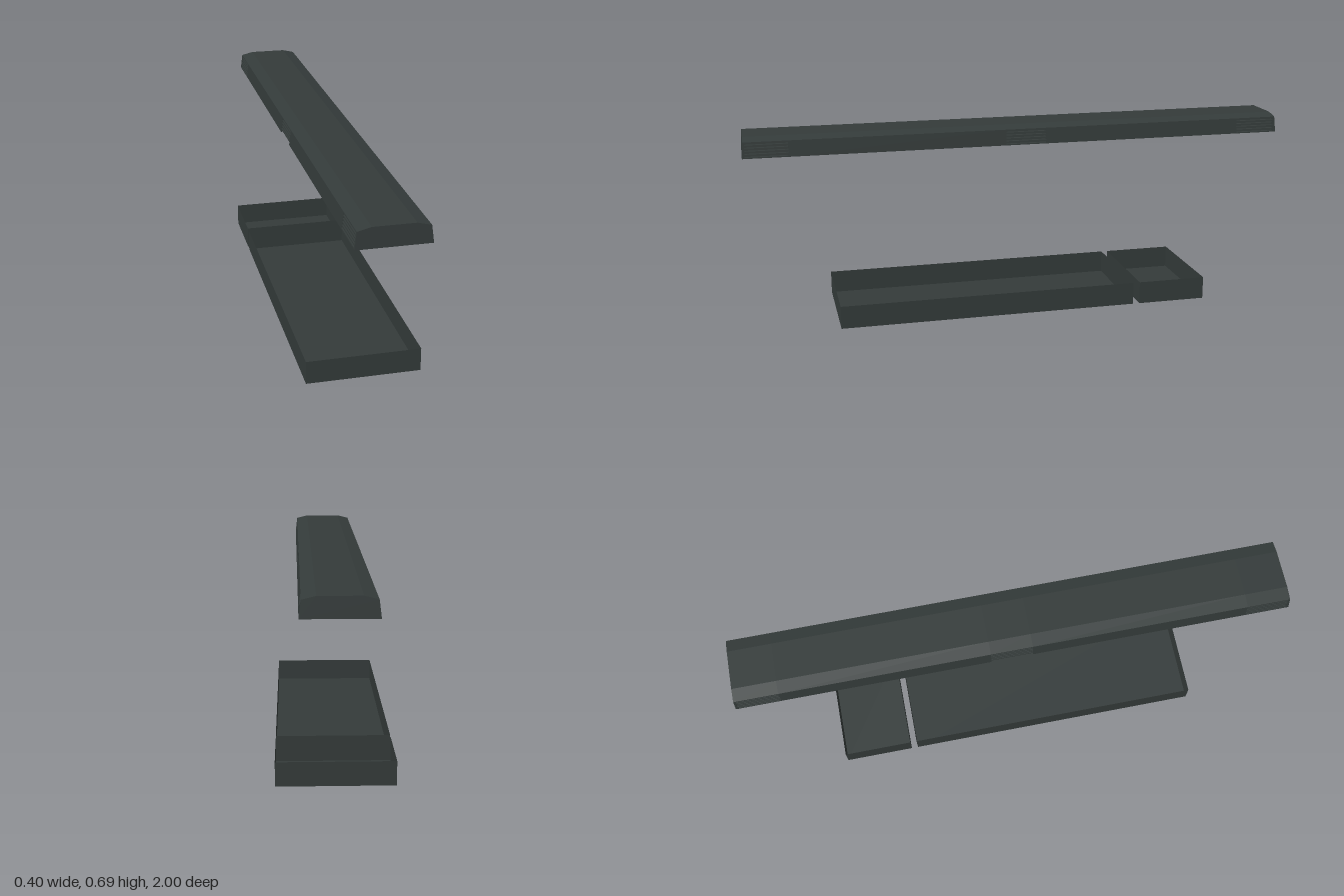
import * as THREE from 'three';

const BOTTOM = 0.625, SHOULDER = 0.682, TOP = 0.693;

// half-width of the beam's sloping side at a given height
const halfWidth = (y) => 0.122 - 0.007 * (y - BOTTOM) / (SHOULDER - BOTTOM);

// outline of one side, from bottom to shoulder; louvred sides are cut by slots
function sidePoints(louvred, openBottom) {
  if (!louvred) return [[halfWidth(BOTTOM), BOTTOM], [halfWidth(SHOULDER), SHOULDER]];
  const pts = [], slats = 5, depth = 0.014;
  const pitch = (SHOULDER - BOTTOM) / (slats + 0.4);
  for (let i = 0; i <= slats; i++) {
    const y = BOTTOM + i * pitch, top = y + pitch * 0.4;
    const out = i === 0 && openBottom ? depth : 0;
    pts.push([halfWidth(y) - out, y], [halfWidth(top) - out, top]);
    if (i < slats) {
      if (!out) pts.push([halfWidth(top) - depth, top]);
      pts.push([halfWidth(y + pitch) - depth, y + pitch]);
    }
  }
  return pts;
}

// one length of the beam, extruded along z
function beamSection(z0, z1, louvred, openBottom = false) {
  const right = sidePoints(louvred, false);
  const left = sidePoints(louvred, openBottom).map(([x, y]) => [-x, y]).reverse();
  const outline = [...right, [0.07, TOP], [-0.07, TOP], ...left];
  const shape = new THREE.Shape(outline.map(([x, y]) => new THREE.Vector2(x, y)));
  const geo = new THREE.ExtrudeGeometry(shape, { depth: z1 - z0, bevelEnabled: false });
  geo.translate(0, 0, z0);
  // the two end faces lean in slightly towards the top
  const p = geo.attributes.position;
  for (let i = 0; i < p.count; i++) {
    if (Math.abs(p.getZ(i)) > 0.999) p.setZ(i, p.getZ(i) * (1 - 0.07 * (p.getY(i) - BOTTOM)));
  }
  geo.computeVertexNormals();
  return geo;
}

// thin-walled tray: a box without its top face
function trayGeometry(width, height, length) {
  const geo = new THREE.BoxGeometry(width, height, length);
  const index = Array.from(geo.index.array);
  index.splice(12, 6);
  geo.setIndex(index);
  geo.clearGroups();
  return geo;
}

export function createModel() {
  const model = new THREE.Group();
  model.name = 'beamAndTrays';
  const charcoal = new THREE.MeshStandardMaterial({ color: 0x343b3a, flatShading: true, side: THREE.DoubleSide });
  charcoal.name = 'charcoal';

  const add = (parent, name, geo) => {
    const mesh = new THREE.Mesh(geo, charcoal);
    mesh.name = name;
    parent.add(mesh);
    return mesh;
  };

  // long upper beam with louvres at both ends and the middle
  const beam = new THREE.Group();
  beam.name = 'beam';
  model.add(beam);
  add(beam, 'backCap', beamSection(-1, -0.99, false));
  add(beam, 'backLouvres', beamSection(-0.99, -0.84, true));
  add(beam, 'backBody', beamSection(-0.84, -0.09, false));
  add(beam, 'middleLouvres', beamSection(-0.09, 0.06, true, true));
  add(beam, 'frontBody', beamSection(0.06, 0.84, false));
  add(beam, 'frontLouvres', beamSection(0.84, 0.99, true));
  add(beam, 'frontCap', beamSection(0.99, 1, false));

  // open trays on the ground
  const trays = [['largeTray', -0.415, 0.69], ['smallTray', -0.697, -0.44]];
  for (const [name, z0, z1] of trays) {
    add(model, name, trayGeometry(0.402, 0.084, z1 - z0)).position.set(0, 0.042, (z0 + z1) / 2);
  }
  return model;
}
